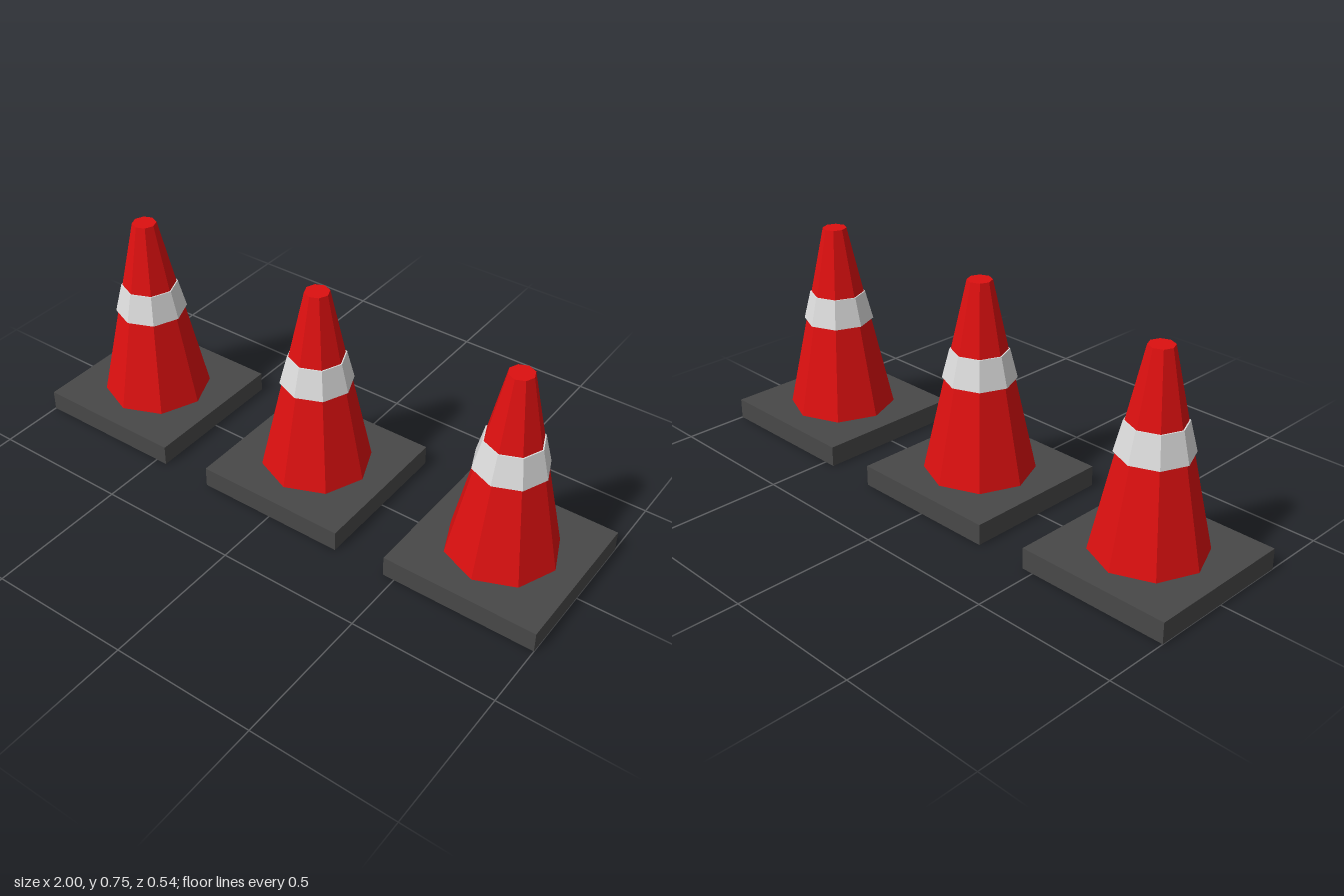
import * as THREE from 'three';

const red = new THREE.MeshStandardMaterial({ color: 0xdd1010 });
red.name = 'coneRed';
const white = new THREE.MeshStandardMaterial({ color: 0xdddddd });
white.name = 'bandWhite';
const grey = new THREE.MeshStandardMaterial({ color: 0x484848 });
grey.name = 'baseGrey';

// Eight-sided tapered solid between two heights, with faceted normals
function taper(name, rTop, rBottom, y0, y1, material) {
  const geometry = new THREE.CylinderGeometry(rTop, rBottom, y1 - y0, 8).toNonIndexed();
  geometry.computeVertexNormals();
  const mesh = new THREE.Mesh(geometry, material);
  mesh.name = name;
  mesh.position.y = (y0 + y1) / 2;
  return mesh;
}

function createCone() {
  const cone = new THREE.Group();
  cone.name = 'trafficCone';

  // Square foot
  const base = new THREE.Mesh(new THREE.BoxGeometry(0.542, 0.073, 0.542), grey);
  base.name = 'base';
  base.position.y = 0.0365;

  // Tapered body and the reflective band standing slightly proud of it
  cone.add(
    base,
    taper('body', 0.042, 0.19, 0.073, 0.75, red),
    taper('reflectiveBand', 0.099, 0.125, 0.407, 0.51, white)
  );
  return cone;
}

export function createModel() {
  const model = new THREE.Group();
  model.name = 'trafficCones';
  // Three cones in a row
  for (const x of [-0.729, 0, 0.729]) {
    const cone = createCone();
    cone.position.x = x;
    model.add(cone);
  }
  return model;
}
